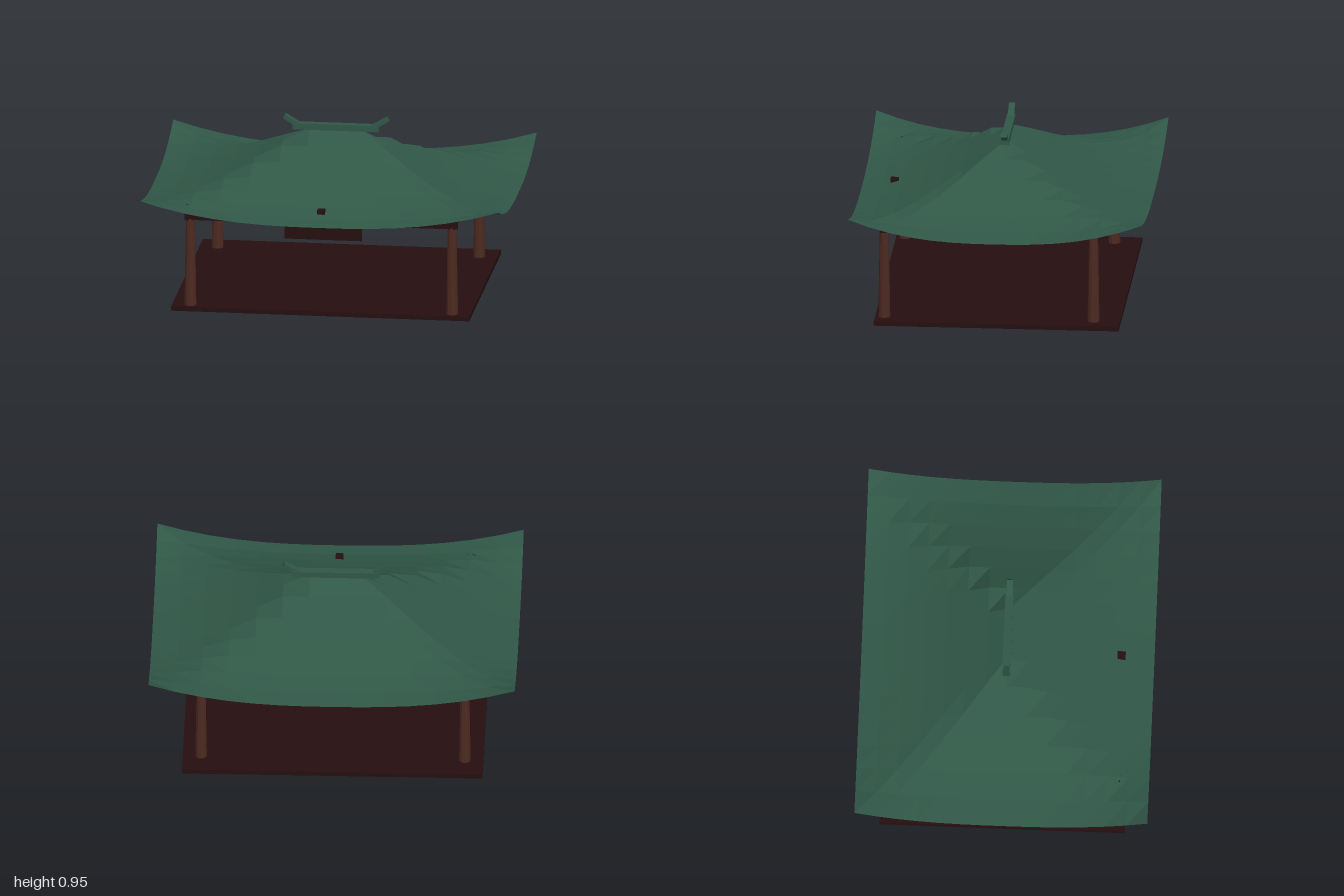
import * as THREE from 'three';

export function createModel() {
  const model = new THREE.Group();
  model.name = 'pavilion';

  const mat = (name, color, extra = {}) => {
    const m = new THREE.MeshStandardMaterial({ color, ...extra });
    m.name = name;
    return m;
  };
  const tileGreen = mat('tileGreen', 0x305747, { flatShading: true, side: THREE.DoubleSide });
  const columnBrown = mat('columnBrown', 0x4c2a21, { flatShading: true });
  const darkWood = mat('darkWood', 0x250e0f);

  const add = (name, geometry, material, x, y, z) => {
    const mesh = new THREE.Mesh(geometry, material);
    mesh.name = name;
    mesh.position.set(x, y, z);
    model.add(mesh);
    return mesh;
  };
  const box = (name, material, w, h, d, x, y, z) =>
    add(name, new THREE.BoxGeometry(w, h, d), material, x, y, z);

  // Floor slab
  box('floor', darkWood, 1.64, 0.025, 1.34, 0, 0.0125, 0);

  // Tapered columns with a block on each
  const frontZ = 0.62, backZ = -0.525, sideX = 0.72;
  for (const z of [frontZ, backZ]) {
    for (const x of [-sideX, sideX]) {
      add('column', new THREE.CylinderGeometry(0.025, 0.033, 0.5, 10), columnBrown, x, 0.265, z);
      box('columnBlock', darkWood, 0.042, 0.06, 0.042, x, 0.566, z);
    }
    // Cross beam and its middle block
    box('crossBeam', darkWood, 1.5, 0.033, 0.035, 0, 0.526, z);
    box('middleBlock', darkWood, 0.042, 0.06, 0.045, 0, 0.56, z);
  }
  for (const x of [-sideX, sideX]) {
    box('sideBeam', darkWood, 0.035, 0.036, 1.245, x, 0.526, 0.02);
  }

  // Hanging board below the front beam
  box('hangingBoard', darkWood, 0.425, 0.125, 0.012, 0, 0.458, 0.535);

  // Curved hip roof: concave slope from the ridge plus lifted corners
  const roofHeight = (x, z) => {
    const u = Math.abs(x), v = Math.abs(z) / 0.8;
    const slope = Math.max((u - 0.17) / 0.83, v, 0);
    return 0.537 + 0.333 * Math.pow(Math.max(1 - slope, 0), 1.5) + 0.123 * Math.pow(u * v, 2.6);
  };
  const roof = new THREE.PlaneGeometry(1.6, 2, 14, 14);
  const p = roof.attributes.position;
  for (let i = 0; i < p.count; i++) {
    const x = p.getY(i), z = p.getX(i);
    p.setXYZ(i, x, roofHeight(x, z), z);
  }
  roof.computeVertexNormals();
  add('roof', roof, tileGreen, 0, 0, 0);

  // Ridge bar with upturned ends
  box('ridge', tileGreen, 0.475, 0.034, 0.045, 0, 0.884, 0);
  for (const s of [-1, 1]) {
    const end = box('ridgeEnd', tileGreen, 0.1, 0.025, 0.034, s * 0.243, 0.912, 0);
    end.rotation.z = s * 0.55;
  }

  return model;
}
